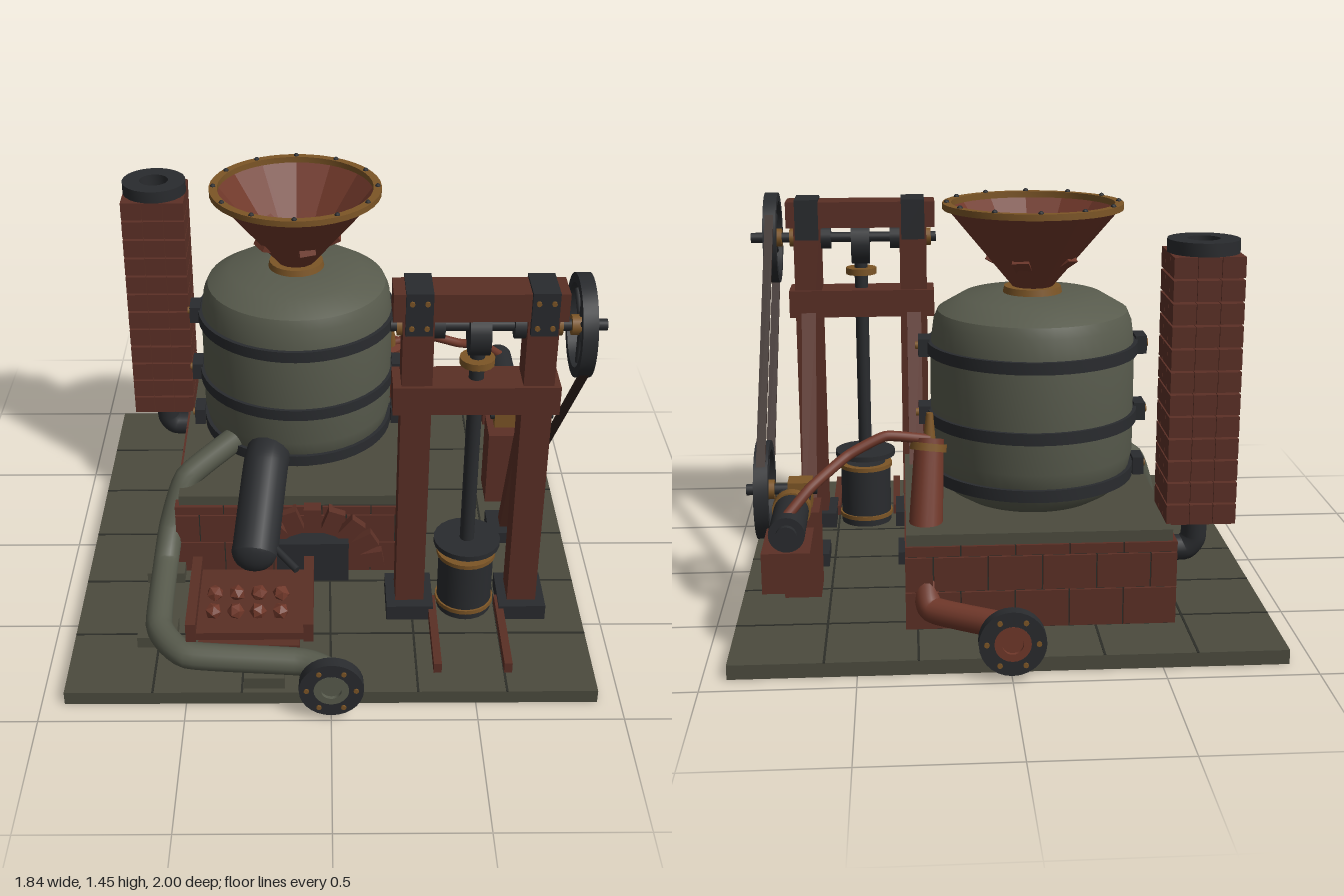
import * as THREE from 'three';
import { toCreasedNormals } from 'three/addons/utils/BufferGeometryUtils.js';

const mat = (name, hex, side = THREE.FrontSide) => {
  const m = new THREE.MeshStandardMaterial({ color: hex, side });
  m.name = name;
  return m;
};

export function createModel() {
  const root = new THREE.Group();
  root.name = 'oreMill';
  const stone = mat('stone', 0x4c4b3e), groove = mat('groove', 0x2c2d28);
  const shell = mat('kettle shell', 0x585b4d), brick = mat('brick', 0x5c3026);
  const wood = mat('timber', 0x5a2f25), copper = mat('copper', 0x70382a, THREE.DoubleSide);
  const iron = mat('iron', 0x292b2e), brass = mat('brass', 0x7c5526), leather = mat('leather', 0x33241f);

  const V = (a) => new THREE.Vector3(...a);
  const add = (name, geo, m, pos = [0, 0, 0], rot = [0, 0, 0], parent = root) => {
    const mesh = new THREE.Mesh(geo, m);
    mesh.name = name;
    mesh.position.set(...pos);
    mesh.rotation.set(...rot);
    parent.add(mesh);
    return mesh;
  };
  // Box given by its extents on each axis
  const box = (name, m, x0, x1, y0, y1, z0, z1, parent = root) =>
    add(name, new THREE.BoxGeometry(x1 - x0, y1 - y0, z1 - z0), m, [(x0 + x1) / 2, (y0 + y1) / 2, (z0 + z1) / 2], [0, 0, 0], parent);
  // Cylinder or square bar between two points
  const rod = (name, m, a, b, r0, r1 = r0, seg = 16) => {
    const A = V(a), B = V(b), d = B.clone().sub(A);
    const mesh = add(name, new THREE.CylinderGeometry(r1, r0, d.length(), seg), m);
    mesh.position.copy(A).add(B).multiplyScalar(0.5);
    mesh.quaternion.setFromUnitVectors(new THREE.Vector3(0, 1, 0), d.normalize());
    return mesh;
  };
  const tube = (name, m, pts, r, parent = root) =>
    add(name, new THREE.TubeGeometry(new THREE.CatmullRomCurve3(pts.map(V), false, 'catmullrom', 0.25), 60, r, 16), m, [0, 0, 0], [0, 0, 0], parent);
  const lathe = (pts, seg = 40) =>
    toCreasedNormals(new THREE.LatheGeometry(pts.map((p) => new THREE.Vector2(...p)), seg), 0.6);
  const ring = (ri, ro, h, seg) => lathe([[ri, -h / 2], [ro, -h / 2], [ro, h / 2], [ri, h / 2], [ri, -h / 2]], seg);
  const group = (name) => {
    const g = new THREE.Group();
    g.name = name;
    root.add(g);
    return g;
  };

  // Paved base
  box('basePlate', stone, -0.92, 0.92, 0, 0.05, -0.92, 0.915);
  for (const t of [-0.615, -0.307, 0, 0.3, 0.607]) {
    box('pavingJoint', groove, t - 0.004, t + 0.004, 0.048, 0.052, -0.92, 0.915);
    box('pavingJoint', groove, -0.92, 0.92, 0.048, 0.052, t - 0.004, t + 0.004);
  }

  // Brick plinth with staggered courses and a stone slab
  const plinth = group('plinth');
  box('mortarCore', groove, -0.57, 0.33, 0.05, 0.35, -0.68, 0.23, plinth);
  [[0.055, 0.185], [0.19, 0.31], [0.315, 0.35]].forEach(([y0, y1], row) => {
    const step = 0.184;
    for (let i = 0; i < 6; i++) {
      const s = (row % 2 ? -0.5 : 0) * step + i * step;
      const a = Math.max(0, s), b = Math.min(0.92, s + step) - 0.005;
      if (b - a < 0.02) continue;
      for (const z of [-0.69, 0.2]) box('brick', brick, -0.58 + a, -0.58 + b, y0, y1, z, z + 0.04, plinth);
      for (const x of [-0.58, 0.3]) box('brick', brick, x, x + 0.04, y0, y1, -0.69 + a, -0.69 + b, plinth);
    }
  });
  box('slab', stone, -0.565, 0.335, 0.35, 0.39, -0.68, 0.225);

  // Fire mouth with arch bricks
  box('fireMouth', iron, -0.2, 0.07, 0.06, 0.23, 0.23, 0.31);
  for (let i = 0; i < 9; i++) {
    const a = (Math.PI * (i + 0.5)) / 9;
    add('archBrick', new THREE.BoxGeometry(0.1, 0.065, 0.05), brick,
      [-0.065 + Math.cos(a) * 0.22, 0.09 + Math.sin(a) * 0.22, 0.25], [0, 0, a]);
  }

  // Kettle with iron bands
  const kx = -0.123, kz = -0.23;
  add('kettle', lathe([[0, 0.39], [0.25, 0.39], [0.3, 0.42], [0.345, 0.48], [0.362, 0.56], [0.362, 0.94],
    [0.35, 1.03], [0.335, 1.065], [0.25, 1.115], [0.1, 1.125], [0, 1.125]], 48), shell, [kx, 0, kz]);
  for (const [y, r] of [[0.485, 0.365], [0.69, 0.375], [0.935, 0.375]]) {
    add('kettleBand', ring(r - 0.04, r, 0.042, 48), iron, [kx, y, kz]);
    for (const s of [-1, 1]) {
      box('bandClamp', iron, kx + s * 0.385 - 0.02, kx + s * 0.385 + 0.02, y - 0.032, y + 0.032, kz - 0.045, kz + 0.045);
      rod('clampStud', brass, [kx + s * 0.4, y, kz], [kx + s * 0.415, y, kz], 0.014, 0.014, 8);
    }
  }

  // Hopper, rim and ore
  add('hopperNeck', new THREE.CylinderGeometry(0.1, 0.105, 0.025, 24), brass, [kx, 1.135, kz]);
  add('hopperCone', toCreasedNormals(new THREE.CylinderGeometry(0.305, 0.07, 0.28, 14, 1, true), 0.2), copper, [kx, 1.285, kz]);
  add('hopperRim', ring(0.285, 0.315, 0.022, 40), brass, [kx, 1.43, kz]);
  add('hopperOutlet', new THREE.SphereGeometry(0.03, 12, 8), brass, [kx, 1.15, kz]);
  for (let i = 0; i < 12; i++) {
    const a = (i * Math.PI) / 6;
    add('rimRivet', new THREE.SphereGeometry(0.01, 8, 6), iron, [kx + 0.3 * Math.cos(a), 1.441, kz + 0.3 * Math.sin(a)]);
  }
  for (let i = 0; i < 5; i++) {
    const a = 0.03 + (i * Math.PI * 2) / 5;
    add('hopperOre', new THREE.BoxGeometry(0.07, 0.045, 0.06), copper,
      [kx + 0.125 * Math.cos(a), 1.245, kz + 0.125 * Math.sin(a)], [0.2, -a, 0.5]);
  }

  // Brick chimney in open courses
  const chimney = group('chimney'), cx = -0.67, cz = -0.505;
  for (let c = 0; c < 12; c++) {
    const y = 0.385 + c * 0.0775;
    for (let i = -1; i <= 1; i++) for (let j = -1; j <= 1; j++) {
      if (!i && !j) continue;
      box('chimneyBrick', brick, cx + i * 0.08 - 0.039, cx + i * 0.08 + 0.039, y, y + 0.07,
        cz + j * 0.08 - 0.039, cz + j * 0.08 + 0.039, chimney);
    }
  }
  add('chimneyCap', ring(0.055, 0.122, 0.045, 24), iron, [cx, 1.33, cz]);
  tube('flue', iron, [[cx, 0.42, cz], [cx, 0.3, cz], [-0.64, 0.26, cz], [-0.55, 0.26, cz]], 0.045);

  // Stamp frame with feet and rear struts
  box('topBeam', wood, 0.205, 0.78, 1.265, 1.365, 0.365, 0.495);
  box('middleBeam', wood, 0.21, 0.775, 0.915, 1.02, 0.355, 0.505);
  for (const x of [0.29, 0.7]) {
    box('post', wood, x - 0.052, x + 0.052, 0.1, 1.3, 0.37, 0.49);
    box('postFoot', iron, x - 0.085, x + 0.085, 0.05, 0.11, 0.33, 0.53);
    box('strutFoot', iron, x - 0.075, x + 0.075, 0.05, 0.1, -0.09, 0.065);
    add('strut', new THREE.BoxGeometry(0.055, 0.92, 0.06), wood, [x, 0.505, 0.175], [0.425, 0, 0]);
    box('bearingPlate', iron, x - 0.045, x + 0.045, 1.22, 1.375, 0.355, 0.51);
    for (const dx of [-0.025, 0.025]) for (const y of [1.25, 1.34]) {
      rod('plateBolt', brass, [x + dx, y, 0.505], [x + dx, y, 0.518], 0.009, 0.009, 8);
    }
    const s = x < 0.5 ? 1 : -1;
    rod('shaftCollar', iron, [x + s * 0.05, 1.22, 0.43], [x + s * 0.09, 1.22, 0.43], 0.045);
    rod('shaftBush', brass, [x - s * 0.05, 1.22, 0.43], [x - s * 0.07, 1.22, 0.43], 0.035);
  }
  rod('upperShaft', iron, [0.2, 1.22, 0.43], [0.92, 1.22, 0.43], 0.02);

  // Cam, stamp and mortar drum
  const sx = 0.495, sz = 0.43;
  rod('cam', iron, [sx - 0.035, 1.2, sz], [sx + 0.035, 1.2, sz], 0.085, 0.085, 20);
  rod('stampCollar', brass, [sx, 1.075, sz], [sx, 1.1, sz], 0.06);
  rod('stampStem', iron, [sx, 0.33, sz], [sx, 1.13, sz], 0.026);
  rod('stampPlate', iron, [sx, 0.33, sz], [sx, 0.35, sz], 0.12, 0.12, 24);
  rod('mortarDrum', iron, [sx, 0.05, sz], [sx, 0.295, sz], 0.1, 0.1, 24);
  for (const y of [0.085, 0.29]) add('drumHoop', ring(0.08, 0.107, 0.016, 24), brass, [sx, y, sz]);
  for (const x of [0.372, 0.618]) box('skidRail', wood, x - 0.014, x + 0.014, 0.06, 0.1, 0.45, 0.83);

  // Belt wheels and belt
  const wx = 0.835, wheels = [[1.22, 0.43], [0.43, -0.29]];
  for (const [y, z] of wheels) {
    add('wheelRim', ring(0.142, 0.175, 0.05, 36), iron, [wx, y, z], [0, 0, Math.PI / 2]);
    for (let i = 0; i < 6; i++) {
      const a = (i * Math.PI) / 3;
      rod('wheelSpoke', iron, [wx, y, z], [wx, y + 0.15 * Math.cos(a), z + 0.15 * Math.sin(a)], 0.011, 0.011, 8);
    }
    rod('wheelHub', brass, [wx - 0.035, y, z], [wx + 0.035, y, z], 0.035);
  }
  for (const s of [-1, 1]) {
    add('beltStrand', new THREE.BoxGeometry(0.032, 1.07, 0.01), leather,
      [wx, 0.825 - s * 0.114, 0.07 + s * 0.125], [Math.atan2(0.72, 0.79), 0, 0]);
  }

  // Steam engine driving the lower wheel
  const ex = 0.725;
  box('enginePillar', brick, 0.64, 0.77, 0.05, 0.37, -0.38, -0.22);
  box('engineBlock', brick, 0.65, 0.81, 0.23, 0.37, -0.77, -0.53);
  rod('engineCylinder', iron, [ex, 0.43, -0.76], [ex, 0.43, -0.53], 0.06, 0.06, 24);
  rod('cylinderCap', iron, [ex, 0.43, -0.78], [ex, 0.43, -0.755], 0.035);
  rod('cylinderFlange', brass, [ex, 0.43, -0.53], [ex, 0.43, -0.485], 0.066, 0.066, 24);
  for (const dx of [-0.045, 0.045]) rod('guideRod', iron, [ex + dx, 0.43, -0.5], [ex + dx, 0.43, -0.33], 0.013);
  rod('pistonRod', brass, [ex, 0.43, -0.5], [ex, 0.43, -0.3], 0.012);
  box('crosshead', brass, 0.665, 0.75, 0.38, 0.47, -0.35, -0.265);
  rod('lowerShaft', iron, [0.65, 0.43, -0.29], [0.9, 0.43, -0.29], 0.02);

  // Riser, valve and steam line
  tube('riserPipe', copper, [[0, 0.13, -0.97], [0, 0.13, -0.86], [0.25, 0.13, -0.7], [0.27, 0.22, -0.64], [0.27, 0.36, -0.56]], 0.045);
  rod('riserStack', copper, [0.27, 0.32, -0.57], [0.25, 0.66, -0.46], 0.06, 0.05);
  rod('riserCollar', brass, [0.255, 0.62, -0.472], [0.252, 0.645, -0.465], 0.063);
  rod('valve', brass, [0.25, 0.65, -0.462], [0.248, 0.75, -0.455], 0.022, 0.012);
  tube('steamLine', copper, [[0.25, 0.66, -0.47], [0.4, 0.68, -0.49], [0.53, 0.625, -0.53], [0.65, 0.55, -0.64], [0.74, 0.46, -0.71]], 0.018);

  // Drain pipe around the left side
  tube('drainPipe', shell, [[0, 0.13, 0.97], [0, 0.13, 0.91], [-0.1, 0.13, 0.85], [-0.5, 0.13, 0.81], [-0.61, 0.13, 0.66],
    [-0.62, 0.13, 0.3], [-0.6, 0.24, 0.19], [-0.54, 0.4, 0.11], [-0.34, 0.52, 0.0]], 0.048);
  for (const [x, z] of [[-0.62, 0.255], [-0.62, 0.625], [-0.23, 0.84]]) {
    box('pipeSaddle', stone, x - 0.07, x + 0.07, 0.05, 0.095, z - 0.065, z + 0.055);
  }

  // Bolted end flanges, front and back
  for (const [z, m] of [[0.975, shell], [-0.97, copper]]) {
    const s = Math.sign(z);
    add('flange', ring(0.058, 0.11, 0.042, 28), iron, [0, 0.13, z], [Math.PI / 2, 0, 0]);
    add('flangeSleeve', ring(0.035, 0.06, 0.045, 24), m, [0, 0.13, z], [Math.PI / 2, 0, 0]);
    add('pipeBore', new THREE.CylinderGeometry(0.036, 0.036, 0.02, 16), m, [0, 0.13, z], [Math.PI / 2, 0, 0]);
    for (let i = 0; i < 6; i++) {
      const a = (i * Math.PI) / 3, x = 0.084 * Math.cos(a), y = 0.13 + 0.084 * Math.sin(a);
      rod('flangeBolt', brass, [x, y, z], [x, y, z + s * 0.027], 0.009, 0.009, 8);
    }
  }

  // Pouring spout and its lever
  tube('spout', iron, [[-0.22, 0.5, 0.04], [-0.24, 0.48, 0.16], [-0.275, 0.29, 0.46]], 0.085);
  add('spoutEnd', new THREE.SphereGeometry(0.084, 16, 10), iron, [-0.275, 0.3, 0.445]).scale.z = 0.6;
  rod('spoutLever', iron, [-0.22, 0.32, 0.42], [-0.12, 0.28, 0.53], 0.014, 0.014, 8);

  // Ore tray on a pedestal
  box('trayFloor', wood, -0.49, -0.07, 0.195, 0.225, 0.455, 0.81);
  for (const x of [-0.5, -0.095]) box('trayRail', wood, x, x + 0.035, 0.195, 0.27, 0.435, 0.82);
  for (const x of [-0.43, -0.15]) box('trayLeg', wood, x - 0.035, x + 0.035, 0.09, 0.2, 0.58, 0.69);
  box('trayFoot', wood, -0.47, -0.11, 0.05, 0.1, 0.54, 0.73);
  for (let i = 0; i < 8; i++) {
    const g = new THREE.IcosahedronGeometry(0.031, 0);
    add('ore', toCreasedNormals(g, 0.1), copper, [-0.41 + (i % 4) * 0.078, 0.24, i < 4 ? 0.61 : 0.71], [i, i * 2, 0]);
  }
  return root;
}
